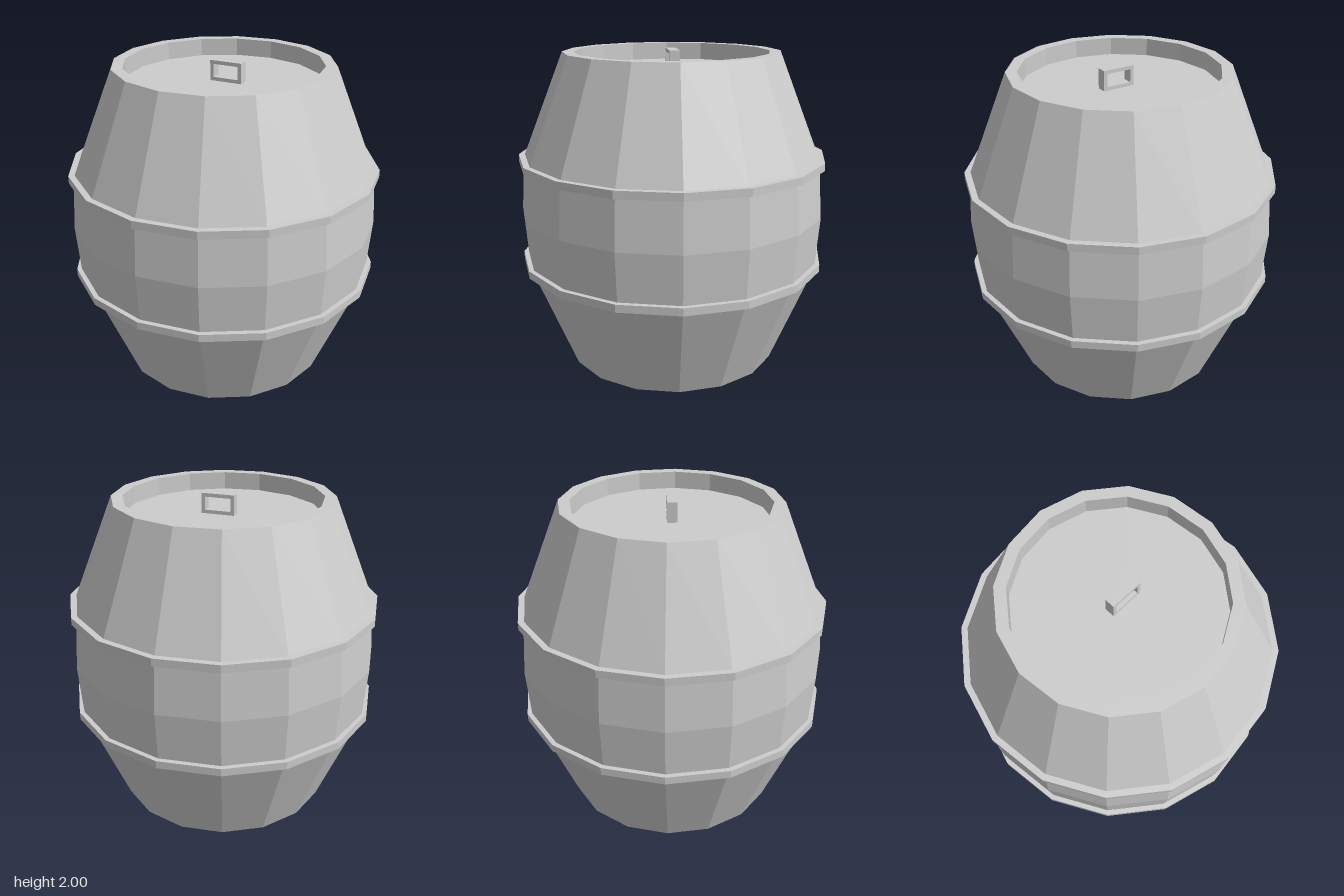
import * as THREE from 'three';

const SIDES = 16;

export function createModel() {
  const barrel = new THREE.Group();
  barrel.name = 'barrel';
  const grey = new THREE.MeshStandardMaterial({ color: 0xcccccc, flatShading: true });
  grey.name = 'plain grey';

  const add = (name, geometry) => {
    const mesh = new THREE.Mesh(geometry, grey);
    mesh.name = name;
    barrel.add(mesh);
    return mesh;
  };
  const turned = (name, profile) =>
    add(name, new THREE.LatheGeometry(profile.map(([r, y]) => new THREE.Vector2(r, y)), SIDES));

  // Staves: bulging wall with a rim folded inwards at both ends
  turned('staves', [
    [0.61, 0.11], [0.61, 0], [0.68, 0], [0.945, 0.655], [0.97, 0.993],
    [0.945, 1.33], [0.68, 1.986], [0.61, 1.986], [0.61, 1.876],
  ]);

  // Recessed end boards
  turned('lid', [[0.61, 1.876], [0, 1.876]]);
  turned('base', [[0, 0.11], [0.61, 0.11]]);

  // Two hoops around the belly
  for (const [name, y] of [['lowerHoop', 0.642], ['upperHoop', 1.296]]) {
    const top = y + 0.048;
    turned(name, [[0.92, y], [0.978, y], [0.978, top], [0.92, top], [0.92, y]]);
  }

  // Handle: small upright frame with a rectangular opening
  const rectangle = (path, w, h) =>
    path.moveTo(-w, -h).lineTo(w, -h).lineTo(w, h).lineTo(-w, h).closePath();
  const frame = rectangle(new THREE.Shape(), 0.103, 0.062);
  frame.holes.push(rectangle(new THREE.Path(), 0.08, 0.04));
  const handleGeometry = new THREE.ExtrudeGeometry(frame, { depth: 0.062, bevelEnabled: false });
  handleGeometry.translate(0, 0, -0.031);
  const handle = add('handle', handleGeometry);
  handle.position.set(0.028, 1.938, 0);
  handle.rotation.y = 0.075;

  return barrel;
}
